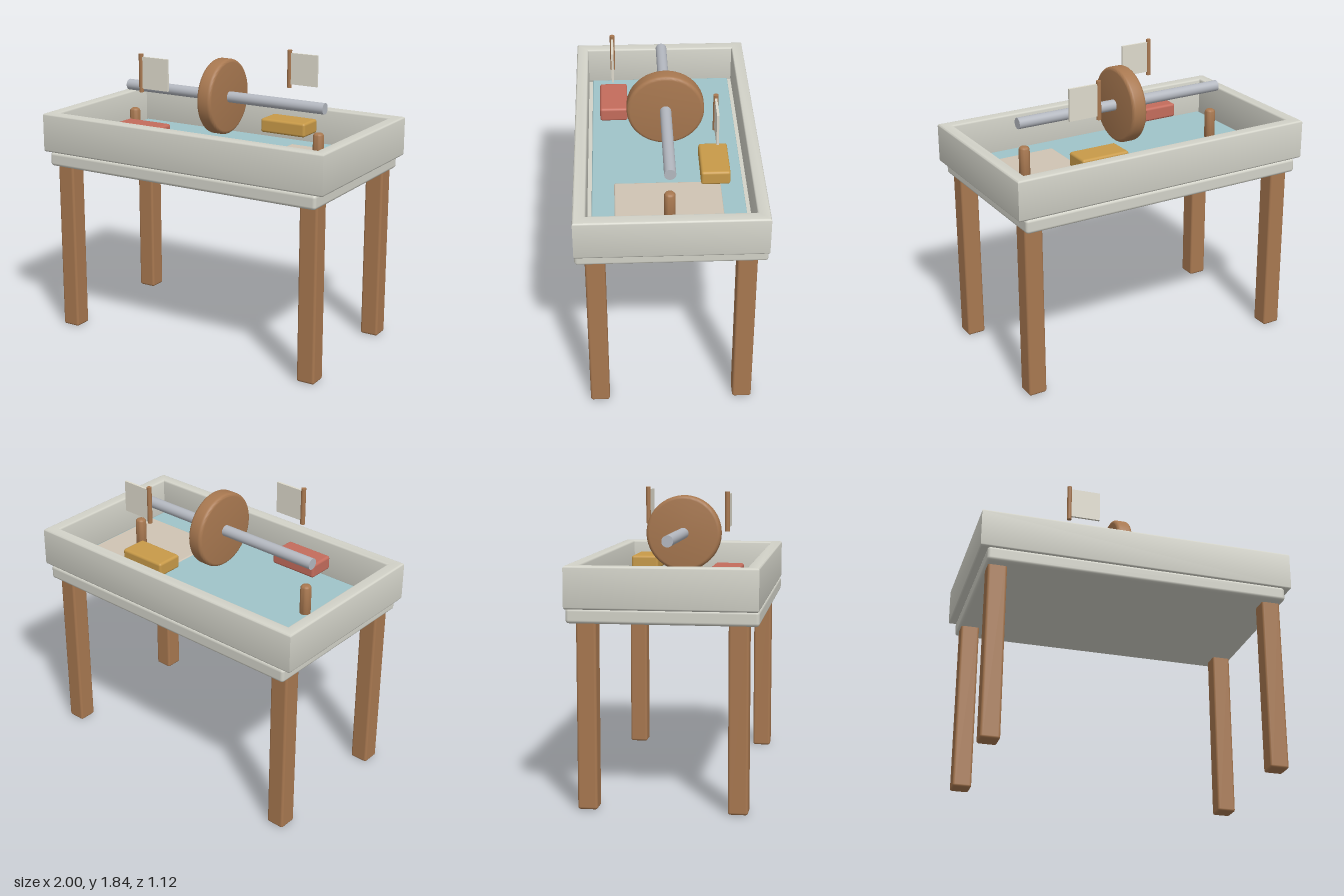
import * as THREE from 'three';
import { toCreasedNormals } from 'three/addons/utils/BufferGeometryUtils.js';
import { RoundedBoxGeometry } from 'three/addons/geometries/RoundedBoxGeometry.js';

const mat = (color) => new THREE.MeshStandardMaterial({ color });

export function createModel() {
  const model = new THREE.Group();
  model.name = 'waterTable';
  const shell = mat(0xd2d2c8), wood = mat(0xa87850), metal = mat(0xb4b8c0);
  const cloth = mat(0xdedacc);

  const add = (name, geometry, material, x, y, z, parent = model) => {
    const mesh = new THREE.Mesh(geometry, material);
    mesh.name = name;
    mesh.position.set(x, y, z);
    parent.add(mesh);
    return mesh;
  };
  const box = (w, h, d, r) => new RoundedBoxGeometry(w, h, d, 3, r);
  const rect = (Path, w, d) => new Path([
    new THREE.Vector2(-w, -d), new THREE.Vector2(w, -d),
    new THREE.Vector2(w, d), new THREE.Vector2(-w, d),
  ]);

  // Disc or post of revolution with rounded rims, centred on its own axis
  const roundedCylinder = (radius, height, r, sides = 48) => {
    const pts = [new THREE.Vector2(0, -height / 2)];
    for (const top of [false, true]) {
      for (let i = 0; i <= 5; i++) {
        const a = (top ? 0 : -Math.PI / 2) + (i / 5) * Math.PI / 2;
        const y = (height / 2 - r) * (top ? 1 : -1) + r * Math.sin(a);
        pts.push(new THREE.Vector2(radius - r + r * Math.cos(a), y));
      }
    }
    pts.push(new THREE.Vector2(0, height / 2));
    return toCreasedNormals(new THREE.LatheGeometry(pts, sides), 0.6);
  };

  // Tray walls: a rectangular ring with softened edges
  const bevel = 0.012, wallHeight = 0.25;
  const ring = rect(THREE.Shape, 1, 0.56);
  ring.holes.push(rect(THREE.Path, 0.925, 0.485));
  const walls = new THREE.ExtrudeGeometry(ring, {
    depth: wallHeight - 2 * bevel, bevelEnabled: true, bevelSize: bevel,
    bevelThickness: bevel, bevelOffset: -bevel, bevelSegments: 3,
  });
  walls.translate(0, 0, bevel);
  walls.rotateX(-Math.PI / 2);
  add('trayWalls', toCreasedNormals(walls, 0.6), shell, 0, 1.19, 0);

  // Tray floor, water and sand bed
  add('trayBase', box(1.91, 0.09, 1.12, 0.02), shell, 0, 1.148, 0);
  add('water', box(1.8, 0.04, 0.92, 0.008), mat(0x9fc4c9), 0, 1.2, 0);
  add('sandBed', box(0.57, 0.03, 0.65, 0.01), mat(0xcfc4b4), 0.605, 1.211, 0);

  // Legs
  for (const x of [-0.88, 0.88]) {
    for (const z of [-0.442, 0.442]) {
      add('leg', box(0.118, 1.12, 0.118, 0.015), wood, x, 0.56, z);
    }
  }

  // Water wheel on its axle, with a post under each end
  const wheel = new THREE.Group();
  wheel.name = 'waterWheel';
  wheel.position.y = 1.563;
  model.add(wheel);
  const disc = add('wheelDisc', roundedCylinder(0.238, 0.1, 0.022, 64), wood, 0, 0, 0, wheel);
  const axle = add('axle', new THREE.CylinderGeometry(0.035, 0.035, 1.44, 32), metal, 0, 0, 0, wheel);
  disc.rotation.z = axle.rotation.z = Math.PI / 2;
  for (const x of [-0.68, 0.68]) {
    add('axlePost', roundedCylinder(0.034, 0.21, 0.022, 24), wood, x, 1.305, 0);
  }

  // Toy boats, each with a mast and flag above it
  for (const [x, z, color] of [[-0.4, 0.318, 0xc46c5c], [0.32, -0.283, 0xc89a48]]) {
    const boat = new THREE.Group();
    boat.name = 'toyBoat';
    boat.position.set(x, 0, z);
    model.add(boat);
    add('hull', box(0.318, 0.09, 0.176, 0.016), mat(color), 0, 1.355, 0, boat);
    add('mast', new THREE.CylinderGeometry(0.015, 0.015, 0.24, 20), wood, 0, 1.722, 0, boat);
    add('flag', new THREE.BoxGeometry(0.2, 0.2, 0.014), cloth, 0.1, 1.725, 0, boat);
  }
  return model;
}
